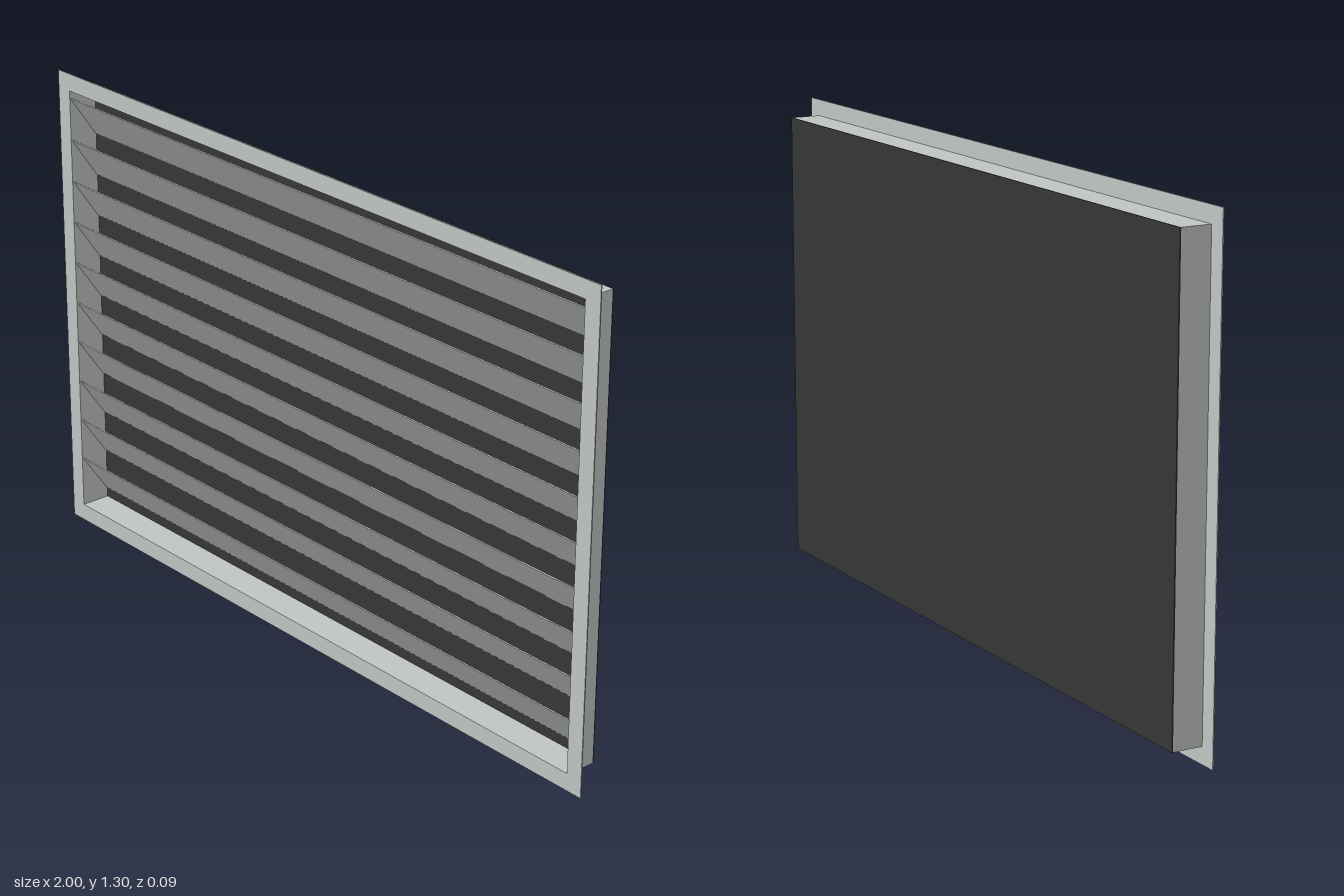
import * as THREE from 'three';

const MID_Y = 0.6525;

// Rectangular ring extruded along z, outer size w x h, opening iw x ih
function ring(w, h, iw, ih, depth) {
  const s = new THREE.Shape([
    new THREE.Vector2(-w / 2, -h / 2), new THREE.Vector2(w / 2, -h / 2),
    new THREE.Vector2(w / 2, h / 2), new THREE.Vector2(-w / 2, h / 2),
  ]);
  s.holes.push(new THREE.Path([
    new THREE.Vector2(-iw / 2, -ih / 2), new THREE.Vector2(-iw / 2, ih / 2),
    new THREE.Vector2(iw / 2, ih / 2), new THREE.Vector2(iw / 2, -ih / 2),
  ]));
  return new THREE.ExtrudeGeometry(s, { depth, bevelEnabled: false });
}

export function createModel() {
  const group = new THREE.Group();
  const metal = new THREE.MeshStandardMaterial({ color: 0xc0c5c3 });
  metal.name = 'light grey metal';
  const dark = new THREE.MeshStandardMaterial({ color: 0x363636 });
  dark.name = 'dark backing';

  const add = (name, geometry, material, y, z, parent = group) => {
    const mesh = new THREE.Mesh(geometry, material);
    mesh.name = name;
    mesh.position.set(0, y, z);
    parent.add(mesh);
    return mesh;
  };

  // Thin front flange and the shallow duct behind it
  add('frontFlange', ring(2, 1.305, 1.906, 1.211, 0.003), metal, MID_Y, 0.04);
  add('duct', ring(1.912, 1.217, 1.906, 1.211, 0.08), metal, MID_Y, -0.04);

  // Backing sheet closing the duct
  add('backPanel', new THREE.BoxGeometry(1.912, 1.217, 0.003), dark, MID_Y, -0.0415);

  // Ten tilted slats, front edge high and back edge low
  const slats = new THREE.Group();
  slats.name = 'slats';
  group.add(slats);
  const rise = 0.112, run = 0.077, pitch = 0.1163;
  const slatGeometry = new THREE.BoxGeometry(1.906, Math.hypot(rise, run), 0.003);
  for (let i = 0; i < 10; i++) {
    const slat = add('slat', slatGeometry, metal, 1.18 - i * pitch, 0, slats);
    slat.rotation.x = Math.atan2(run, rise);
  }
  return group;
}
